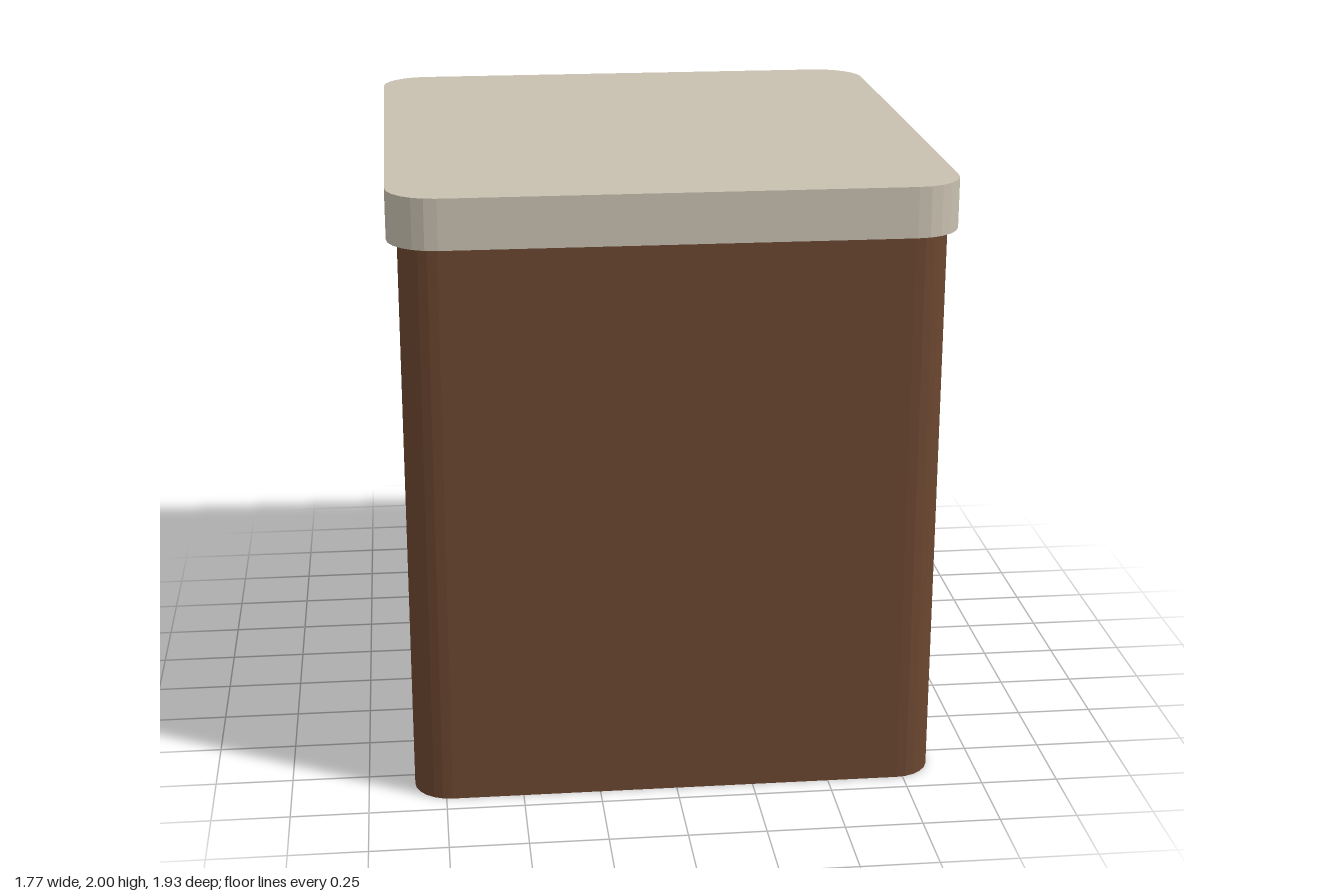
import * as THREE from 'three';

// Upright block with rounded corners of three flat facets each
function roundedBlock(halfX, halfZ, radius, bottom, top) {
  const x = halfX - radius, z = halfZ - radius, q = Math.PI / 2;
  const shape = new THREE.Shape();
  [[x, z], [-x, z], [-x, -z], [x, -z]].forEach(([cx, cz], i) => {
    shape.absarc(cx, cz, radius, i * q, (i + 1) * q, false);
  });
  shape.closePath();
  const geometry = new THREE.ExtrudeGeometry(shape, {
    depth: top - bottom, bevelEnabled: false, curveSegments: 3,
  });
  geometry.rotateX(-q);
  geometry.translate(0, bottom, 0);
  return geometry;
}

export function createModel() {
  const brown = new THREE.MeshStandardMaterial({ color: 0x6b4630, flatShading: true });
  brown.name = 'brown';
  const stone = new THREE.MeshStandardMaterial({ color: 0xc8c0b0, flatShading: true });
  stone.name = 'warm grey';

  const model = new THREE.Group();
  model.name = 'liddedContainer';

  // Container body
  const body = new THREE.Mesh(roundedBlock(0.85, 0.93, 0.12, 0, 1.84), brown);
  body.name = 'body';

  // Overhanging lid
  const lid = new THREE.Mesh(roundedBlock(0.883, 0.963, 0.155, 1.84, 2), stone);
  lid.name = 'lid';

  model.add(body, lid);
  return model;
}
